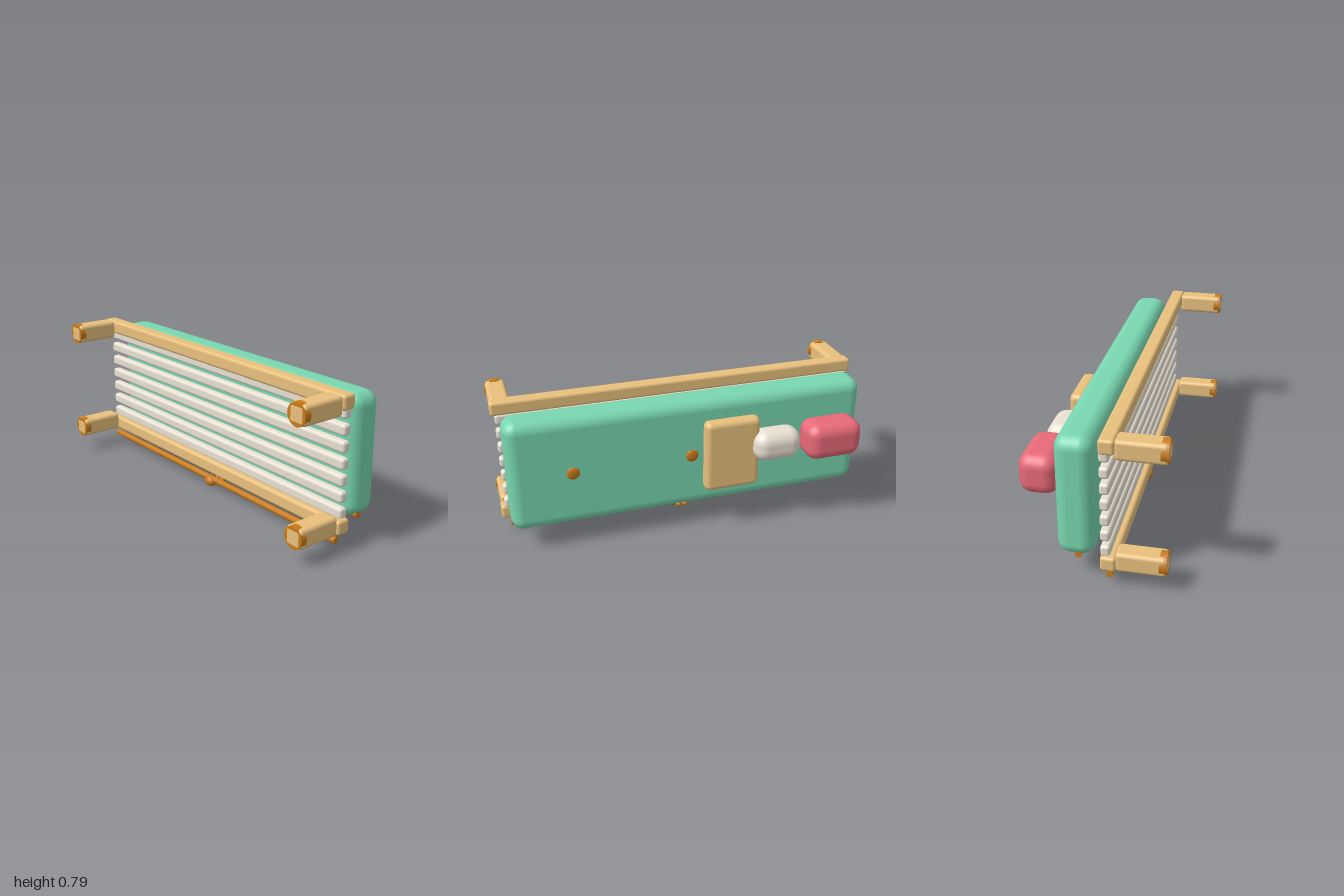
import * as THREE from 'three';
import { RoundedBoxGeometry } from 'three/addons/geometries/RoundedBoxGeometry.js';

const mat = (color) => new THREE.MeshStandardMaterial({ color });

export function createModel() {
  const root = new THREE.Group();
  const wood = mat(0xe8c07d), amber = mat(0xc97b1a), cream = mat(0xe8e0d2);
  const green = mat(0x78d6b0), pink = mat(0xe86a78);

  const add = (name, geometry, material, x, y, z) => {
    const mesh = new THREE.Mesh(geometry, material);
    mesh.name = name;
    mesh.position.set(x, y, z);
    root.add(mesh);
    return mesh;
  };
  // Rounded box given by its [min, max] range on each axis
  const block = (name, material, [x0, x1], [y0, y1], [z0, z1], r, seg = 3) =>
    add(name, new RoundedBoxGeometry(x1 - x0, y1 - y0, z1 - z0, seg, r), material,
      (x0 + x1) / 2, (y0 + y1) / 2, (z0 + z1) / 2);
  const rod = (name, radius, length, sides, y, z) => {
    const mesh = add(name, new THREE.CylinderGeometry(radius, radius, length, sides), amber, 0, y, z);
    mesh.rotation.z = Math.PI / 2;
  };
  const ball = (name, r, x, y, z, sx = 1, sy = 1, sz = 1) =>
    add(name, new THREE.SphereGeometry(r, 16, 12), amber, x, y, z).scale.set(sx, sy, sz);

  // Frame rails
  block('lowerRail', wood, [-1, 1], [0.095, 0.17], [0.05, 0.125], 0.016);
  block('upperRail', wood, [-1, 1], [0.705, 0.78], [0.05, 0.125], 0.016);

  // Slats between the rails
  for (let i = 0; i < 7; i++) {
    const y = 0.19 + i * 0.0824;
    block('slat', cream, [-0.98, 0.98], [y - 0.029, y + 0.029], [0.048, 0.095], 0.016);
  }

  // Legs with round foot caps
  for (const x of [-0.943, 0.943]) {
    for (const y of [0.145, 0.73]) {
      block('leg', wood, [x - 0.051, x + 0.051], [y - 0.05, y + 0.05], [0.12, 0.361], 0.02);
      const cap = add('footCap', new THREE.CylinderGeometry(0.057, 0.057, 0.035, 16), amber, x, y, 0.3425);
      cap.rotation.x = Math.PI / 2;
    }
  }

  // Mattress with buttons and edge piping
  block('mattress', green, [-0.967, 0.965], [0.127, 0.747], [-0.167, 0.017], 0.065);
  for (const x of [-0.635, 0, 0.635]) ball('mattressButton', 0.035, x, 0.437, -0.166, 1, 1, 0.3);
  rod('mattressPiping', 0.018, 1.9, 8, 0.135, -0.061);

  // Cushions stacked on the mattress
  block('board', wood, [-0.35, -0.05], [0.25, 0.65], [-0.257, -0.178], 0.03);
  block('creamCushion', cream, [-0.567, -0.308], [0.405, 0.575], [-0.328, -0.17], 0.068);
  block('pinkCushion', pink, [-0.9, -0.59], [0.388, 0.592], [-0.361, -0.17], 0.065);

  // Trim rod with its bead ornament
  rod('trimRod', 0.017, 1.91, 12, 0.047, 0.088);
  ball('ornamentPad', 0.029, 0, 0.031, 0.088, 1.35, 1, 1);
  for (const s of [-1, 1]) {
    ball('ornamentBead', 0.016, s * 0.048, 0.027, 0.049);
    ball('ornamentBead', 0.016, s * 0.018, 0.027, 0.022);
  }
  return root;
}
